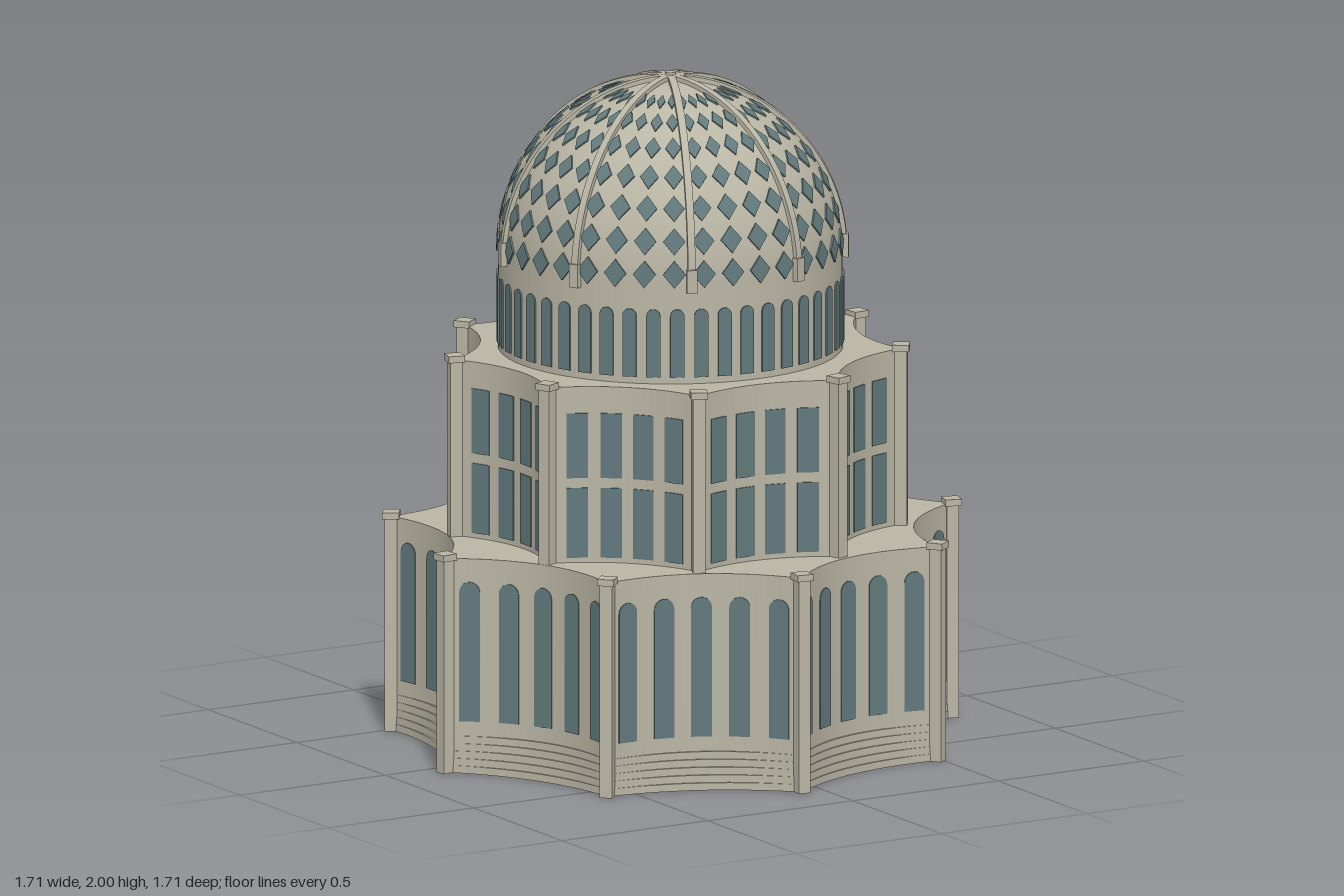
import * as THREE from 'three';
import { mergeGeometries, toCreasedNormals } from 'three/addons/utils/BufferGeometryUtils.js';

const SIDES = 9;
const STEP = (Math.PI * 2) / SIDES;
const rad = THREE.MathUtils.degToRad;

export function createModel() {
  const stone = new THREE.MeshStandardMaterial({ color: 0xbab6a5 });
  stone.name = 'stone';
  const glass = new THREE.MeshStandardMaterial({ color: 0x627a7d });
  glass.name = 'glass';

  const model = new THREE.Group();
  model.name = 'domedTemple';

  const add = (parent, name, geometries, material) => {
    const list = geometries.map((g) => (g.index ? g.toNonIndexed() : g));
    const mesh = new THREE.Mesh(mergeGeometries(list), material);
    mesh.name = name;
    parent.add(mesh);
    return mesh;
  };

  // Point and outward yaw on a concave bay, t runs from one pillar to the next
  const bayPoint = (R, offset, i, t, sag) => {
    const a = offset + i * STEP;
    const A = new THREE.Vector2(Math.sin(a), Math.cos(a)).multiplyScalar(R);
    const B = new THREE.Vector2(Math.sin(a + STEP), Math.cos(a + STEP)).multiplyScalar(R);
    const mid = a + STEP / 2;
    const p = A.clone().lerp(B, t);
    const dip = sag * 4 * t * (1 - t);
    p.x -= Math.sin(mid) * dip;
    p.y -= Math.cos(mid) * dip;
    const slope = (sag * 4 * (1 - 2 * t)) / A.distanceTo(B);
    return { x: p.x, z: p.y, yaw: mid + Math.atan(slope) };
  };

  // Solid star-shaped block with concave sides
  const starBlock = (R, offset, sag, y0, y1) => {
    const points = [];
    for (let i = 0; i < SIDES; i++) {
      for (let k = 0; k < 14; k++) {
        const p = bayPoint(R, offset, i, k / 14, sag);
        points.push(new THREE.Vector2(p.x, -p.z));
      }
    }
    const g = new THREE.ExtrudeGeometry(new THREE.Shape(points), { depth: y1 - y0, bevelEnabled: false });
    g.rotateX(-Math.PI / 2).translate(0, y0, 0);
    return toCreasedNormals(g, rad(25));
  };

  // Thin window pane standing on y = 0, optionally with a round top
  const pane = (w, h, arched) => {
    const s = new THREE.Shape();
    const r = w / 2;
    s.moveTo(-r, 0);
    s.lineTo(r, 0);
    if (arched) {
      s.lineTo(r, h - r);
      s.absarc(0, h - r, r, 0, Math.PI, false);
    } else {
      s.lineTo(r, h);
      s.lineTo(-r, h);
    }
    s.closePath();
    return new THREE.ExtrudeGeometry(s, { depth: 0.007, bevelEnabled: false, curveSegments: 5 })
      .translate(0, 0, -0.003);
  };

  // Square corner pillars with projecting caps
  const pillars = (R, offset, y0, y1) => {
    const list = [];
    for (let i = 0; i < SIDES; i++) {
      const a = offset + i * STEP;
      const shaft = new THREE.BoxGeometry(0.037, y1 - y0, 0.037).translate(0, (y0 + y1) / 2, R);
      const cap = new THREE.BoxGeometry(0.05, 0.02, 0.05).translate(0, y1 - 0.01, R);
      list.push(shaft.rotateY(a), cap.rotateY(a));
    }
    return list;
  };

  // Lower tier
  const lower = new THREE.Group();
  lower.name = 'lowerTier';
  lower.position.set(0.008, 0, -0.01);
  model.add(lower);
  const R1 = 0.84, off1 = rad(-5.3), sag1 = 0.09;
  add(lower, 'lowerWalls', [starBlock(R1, off1, sag1, 0, 0.645)], stone);
  add(lower, 'lowerPillars', pillars(R1, off1, 0, 0.66), stone);
  const steps = [];
  for (let k = 0; k < 5; k++) {
    steps.push(starBlock(R1, off1, 0.055 + 0.007 * k, 0.022 * k, 0.022 * (k + 1)));
  }
  add(lower, 'entranceSteps', steps, stone);
  const lowerPanes = [];
  for (let i = 0; i < SIDES; i++) {
    for (let k = 0; k < 5; k++) {
      const p = bayPoint(R1, off1, i, 0.11 + 0.195 * k, sag1);
      lowerPanes.push(pane(0.062, 0.42, true).rotateY(p.yaw).translate(p.x, 0.155, p.z));
    }
  }
  add(lower, 'lowerWindows', lowerPanes, glass);

  // Upper tier, turned by half a bay
  const upper = new THREE.Group();
  upper.name = 'upperTier';
  upper.position.set(-0.002, 0, -0.01);
  model.add(upper);
  const R2 = 0.67, off2 = rad(15), sag2 = 0.06;
  add(upper, 'upperWalls', [starBlock(R2, off2, sag2, 0.64, 1.175)], stone);
  add(upper, 'upperPillars', pillars(R2, off2, 0.64, 1.19), stone);
  const upperPanes = [];
  for (let i = 0; i < SIDES; i++) {
    for (let k = 0; k < 4; k++) {
      const p = bayPoint(R2, off2, i, 0.18 + 0.2133 * k, sag2);
      for (const [y, h] of [[0.66, 0.21], [0.9, 0.195]]) {
        upperPanes.push(pane(0.064, h, false).rotateY(p.yaw).translate(p.x, y, p.z));
      }
    }
  }
  add(upper, 'upperWindows', upperPanes, glass);

  // Round drum and dome
  const dome = new THREE.Group();
  dome.name = 'dome';
  dome.position.set(-0.011, 0, -0.013);
  model.add(dome);
  const R = 0.507, cy = 1.473;
  const profile = [new THREE.Vector2(R, 1.17)];
  for (let k = 0; k <= 30; k++) {
    const a = (k / 30) * (Math.PI / 2);
    profile.push(new THREE.Vector2(Math.max(0, R * Math.cos(a)), cy + R * Math.sin(a)));
  }
  add(dome, 'domeShell', [new THREE.LatheGeometry(profile, 90)], stone);

  const drumPanes = [];
  for (let k = 0; k < 45; k++) {
    drumPanes.push(pane(0.042, 0.205, true).translate(0, 1.195, R).rotateY(off2 + (k + 0.5) * rad(8)));
  }
  add(dome, 'drumWindows', drumPanes, glass);

  // Rows of diamond lights that narrow toward the crown
  const diamonds = [];
  for (let row = 0; row < 7; row++) {
    const lat = rad(3.5 + 11 * row);
    const w = 0.034 * Math.cos(lat);
    const h = 0.041 - 0.001 * row;
    const s = new THREE.Shape([
      new THREE.Vector2(-w, 0), new THREE.Vector2(0, -h),
      new THREE.Vector2(w, 0), new THREE.Vector2(0, h),
    ]);
    for (let k = 0; k < 36; k++) {
      diamonds.push(new THREE.ExtrudeGeometry(s, { depth: 0.007, bevelEnabled: false })
        .translate(0, 0, R - 0.003).rotateX(-lat).rotateY(off2 + (k + 0.5) * rad(10)).translate(0, cy, 0));
    }
  }
  add(dome, 'diamondLights', diamonds, glass);

  // Raised ribs with foot blocks
  const ribShape = new THREE.Shape();
  ribShape.absarc(0, 0, R + 0.013, rad(-2), rad(89), false);
  ribShape.absarc(0, 0, R - 0.012, rad(89), rad(-2), true);
  const ribs = [];
  for (let i = 0; i < SIDES; i++) {
    const a = off2 + rad(0.7) + i * STEP - Math.PI / 2;
    ribs.push(
      toCreasedNormals(new THREE.ExtrudeGeometry(ribShape, { depth: 0.022, bevelEnabled: false, curveSegments: 24 })
        .translate(0, 0, -0.011), rad(25)).rotateY(a).translate(0, cy, 0),
      new THREE.BoxGeometry(0.03, 0.07, 0.03).translate(R + 0.003, 1.485, 0).rotateY(a),
    );
  }
  add(dome, 'domeRibs', ribs, stone);
  add(dome, 'crownBoss', [new THREE.CylinderGeometry(0.016, 0.02, 0.04, 16).translate(0, 1.98, 0)], stone);

  return model;
}
